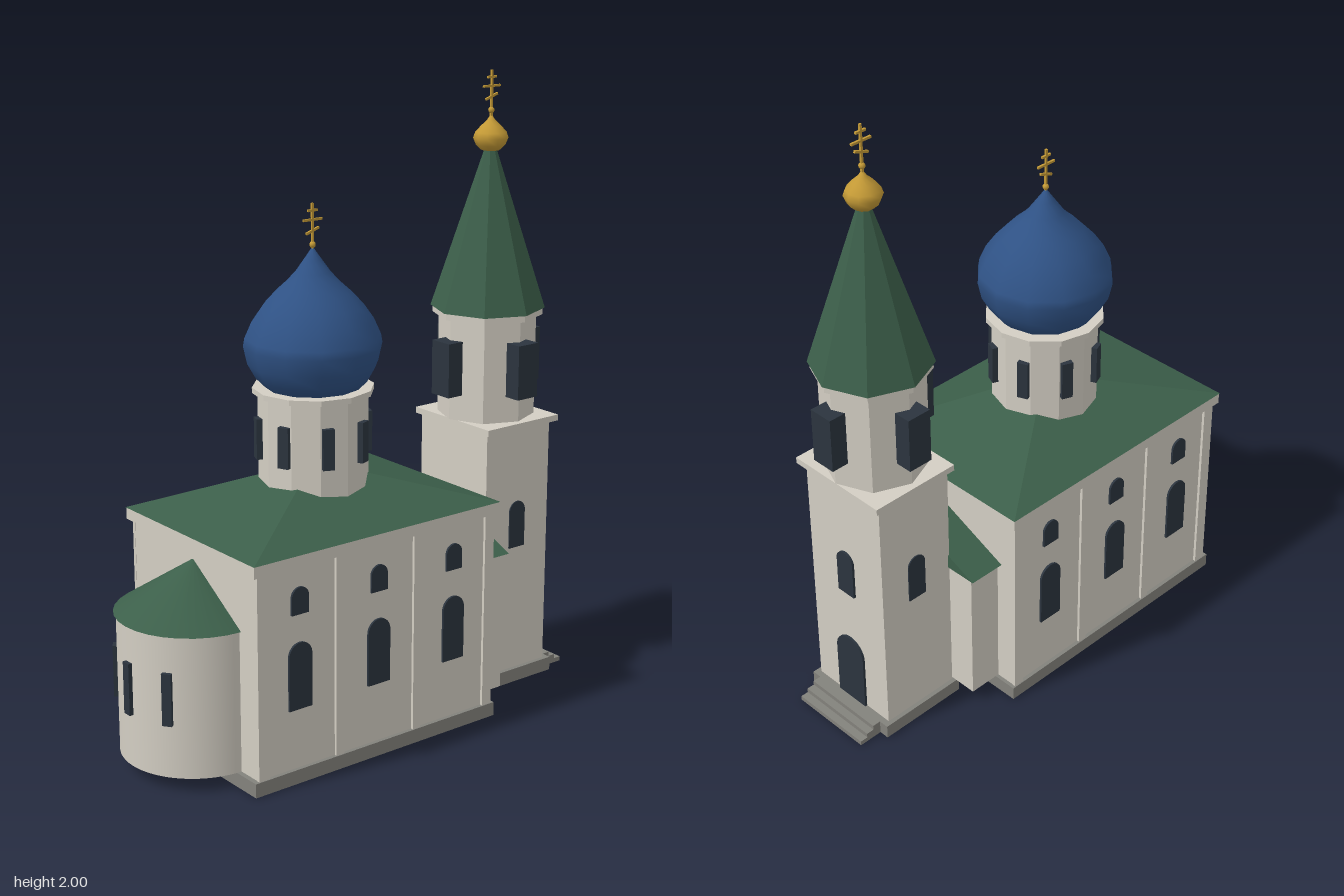
import * as THREE from 'three';

const mat = (name, color, extra = {}) => {
  const m = new THREE.MeshStandardMaterial({ color, ...extra });
  m.name = name;
  return m;
};

export function createModel() {
  const wall = mat('limewash', 0xd3cec3);
  const stone = mat('grey stone', 0x83827c);
  const green = mat('green roof', 0x3c5f4a);
  const blue = mat('blue dome', 0x2f5285);
  const gold = mat('gold', 0xc49a36);
  const dark = mat('dark glass', 0x2b343e);
  const model = new THREE.Group();
  model.name = 'church';

  const add = (name, geo, material, parent = model) => {
    const m = new THREE.Mesh(geo, material);
    m.name = name;
    parent.add(m);
    return m;
  };
  // Box given by its limits on each axis
  const box = (name, material, x0, x1, y0, y1, z0, z1) => {
    const m = add(name, new THREE.BoxGeometry(x1 - x0, y1 - y0, z1 - z0), material);
    m.position.set((x0 + x1) / 2, (y0 + y1) / 2, (z0 + z1) / 2);
    return m;
  };
  // Faceted prism, cone or drum standing between two heights
  const prism = (name, material, rTop, rBottom, y0, y1, z, sides) => {
    const geo = new THREE.CylinderGeometry(rTop, rBottom, y1 - y0, sides).toNonIndexed();
    geo.computeVertexNormals();
    const m = add(name, geo, material);
    m.position.set(0, (y0 + y1) / 2, z);
    return m;
  };
  // Thin round-headed plate facing outwards by the turn angle
  const arch = (name, x, y0, y1, z, width, turn) => {
    const r = width / 2;
    const s = new THREE.Shape();
    s.moveTo(-r, 0);
    s.lineTo(r, 0);
    s.lineTo(r, y1 - y0 - r);
    s.absarc(0, y1 - y0 - r, r, 0, Math.PI, false);
    s.closePath();
    const geo = new THREE.ExtrudeGeometry(s, { depth: 0.008, bevelEnabled: false, curveSegments: 8 });
    const m = add(name, geo, dark);
    m.position.set(x, y0, z);
    m.rotation.y = turn;
  };
  // Upright slab set around a round wall
  const slab = (name, angle, radius, cz, y0, y1, width, depth) => {
    const m = add(name, new THREE.BoxGeometry(width, y1 - y0, depth), dark);
    const r = radius - depth / 2;
    m.position.set(Math.sin(angle) * r, (y0 + y1) / 2, cz + Math.cos(angle) * r);
    m.rotation.y = angle;
  };
  const onion = (name, material, profile, z, sides) => {
    const pts = profile.map(([r, y]) => new THREE.Vector2(r, y));
    add(name, new THREE.LatheGeometry(pts, sides), material).position.z = z;
  };
  // Ball and three-barred cross
  const cross = (y, z) => {
    const g = new THREE.Group();
    g.name = 'cross';
    g.position.set(0, y, z);
    model.add(g);
    add('ball', new THREE.SphereGeometry(0.01, 10, 8), gold, g).position.y = 0.01;
    add('post', new THREE.BoxGeometry(0.007, 0.145, 0.007), gold, g).position.y = 0.0625;
    [[0.052, 0.05, 0.33], [0.085, 0.07, 0], [0.113, 0.036, 0]].forEach(([by, w, tilt]) => {
      const b = add('crossbar', new THREE.BoxGeometry(0.007, 0.007, w), gold, g);
      b.position.y = by;
      b.rotation.x = tilt;
    });
  };

  // Nave
  const naveZ = 0.122;
  box('naveBase', stone, -0.33, 0.33, 0, 0.045, -0.345, 0.589);
  box('naveWalls', wall, -0.317, 0.317, 0.045, 0.683, -0.333, 0.573);
  box('naveCornice', wall, -0.336, 0.336, 0.683, 0.72, -0.345, 0.59);
  for (const side of [-1, 1]) {
    for (const [z, w] of [[0.554, 0.04], [0.273, 0.03], [-0.026, 0.03], [-0.316, 0.036]]) {
      box('pilaster', wall, side * 0.32 - 0.006, side * 0.32 + 0.006, 0.045, 0.683, z - w / 2, z + w / 2);
    }
    for (const z of [0.418, 0.122, -0.174]) {
      arch('naveWindow', side * 0.316, 0.235, 0.445, z, 0.084, side * Math.PI / 2);
      arch('upperNaveWindow', side * 0.316, 0.533, 0.617, z, 0.062, side * Math.PI / 2);
    }
  }

  // Hipped nave roof: a four-sided cone turned square and stretched
  const hip = new THREE.ConeGeometry(Math.SQRT2, 0.142, 4).rotateY(Math.PI / 4).toNonIndexed();
  hip.scale(0.338, 1, 0.47);
  hip.computeVertexNormals();
  add('naveRoof', hip, green).position.set(0, 0.791, naveZ);

  // Drum and main dome
  prism('drum', wall, 0.17, 0.17, 0.79, 1.085, naveZ, 12);
  prism('drumCornice', wall, 0.187, 0.187, 1.085, 1.102, naveZ, 12);
  for (let i = 0; i < 8; i++) {
    slab('drumWindow', (i + 0.5) * Math.PI / 4, 0.182, naveZ, 0.885, 1.012, 0.036, 0.03);
  }
  onion('mainDome', blue, [[0, 1.095], [0.14, 1.095], [0.175, 1.13], [0.2, 1.175], [0.212, 1.23],
    [0.208, 1.255], [0.186, 1.305], [0.155, 1.35], [0.118, 1.39], [0.085, 1.42], [0.055, 1.452],
    [0.028, 1.49], [0, 1.53]], naveZ, 12);
  cross(1.525, naveZ);

  // Rounded apse with half-cone roof
  const apseZ = 0.57;
  const apse = add('apseWall',
    new THREE.CylinderGeometry(0.235, 0.235, 0.445, 32, 1, false, -Math.PI / 2, Math.PI), wall);
  apse.position.set(0, 0.2675, apseZ);
  const apseRoof = add('apseRoof',
    new THREE.ConeGeometry(0.243, 0.157, 16, 1, false, -Math.PI / 2, Math.PI), green);
  apseRoof.position.set(0, 0.5685, apseZ);
  for (const a of [-0.62, 0, 0.62]) slab('apseWindow', a, 0.247, apseZ, 0.213, 0.377, 0.03, 0.02);

  // Passage between nave and tower, with a gabled roof
  box('passageWalls', wall, -0.25, 0.25, 0.045, 0.507, -0.445, -0.333);
  const gable = new THREE.Shape([[-0.267, 0.505], [0.267, 0.505], [0, 0.62]].map(p => new THREE.Vector2(...p)));
  add('passageRoof', new THREE.ExtrudeGeometry(gable, { depth: 0.125, bevelEnabled: false }), green)
    .position.z = -0.455;

  // Bell tower
  const towerZ = -0.585;
  box('towerBase', stone, -0.175, 0.175, 0, 0.045, -0.74, -0.435);
  box('towerWalls', wall, -0.16, 0.16, 0.045, 0.875, -0.72, -0.45);
  box('towerCornice', wall, -0.178, 0.178, 0.875, 0.895, -0.742, -0.438);
  for (let i = 0; i < 3; i++) {
    box('step', stone, -0.142, 0.142, 0, 0.015 * (i + 1), -0.82 + 0.026 * i, -0.72);
  }
  for (const side of [-1, 1]) {
    arch('towerWindow', side * 0.156, 0.47, 0.627, towerZ, 0.066, side * Math.PI / 2);
  }
  arch('towerWindow', 0, 0.47, 0.627, -0.72, 0.07, Math.PI);
  arch('door', 0, 0.045, 0.29, -0.72, 0.12, Math.PI);

  // Eight-sided belfry with tent spire
  prism('belfry', wall, 0.157, 0.157, 0.895, 1.225, towerZ, 8);
  prism('belfryCornice', wall, 0.177, 0.177, 1.225, 1.247, towerZ, 8);
  for (let i = 0; i < 4; i++) {
    slab('belfryOpening', i * Math.PI / 2, 0.197, towerZ, 0.98, 1.157, 0.082, 0.058);
  }
  prism('spire', green, 0.016, 0.184, 1.247, 1.765, towerZ, 8);
  onion('spireDome', gold, [[0, 1.752], [0.03, 1.752], [0.047, 1.768], [0.056, 1.79], [0.05, 1.808],
    [0.032, 1.828], [0.014, 1.845], [0, 1.865]], towerZ, 10);
  cross(1.867, towerZ);

  return model;
}
